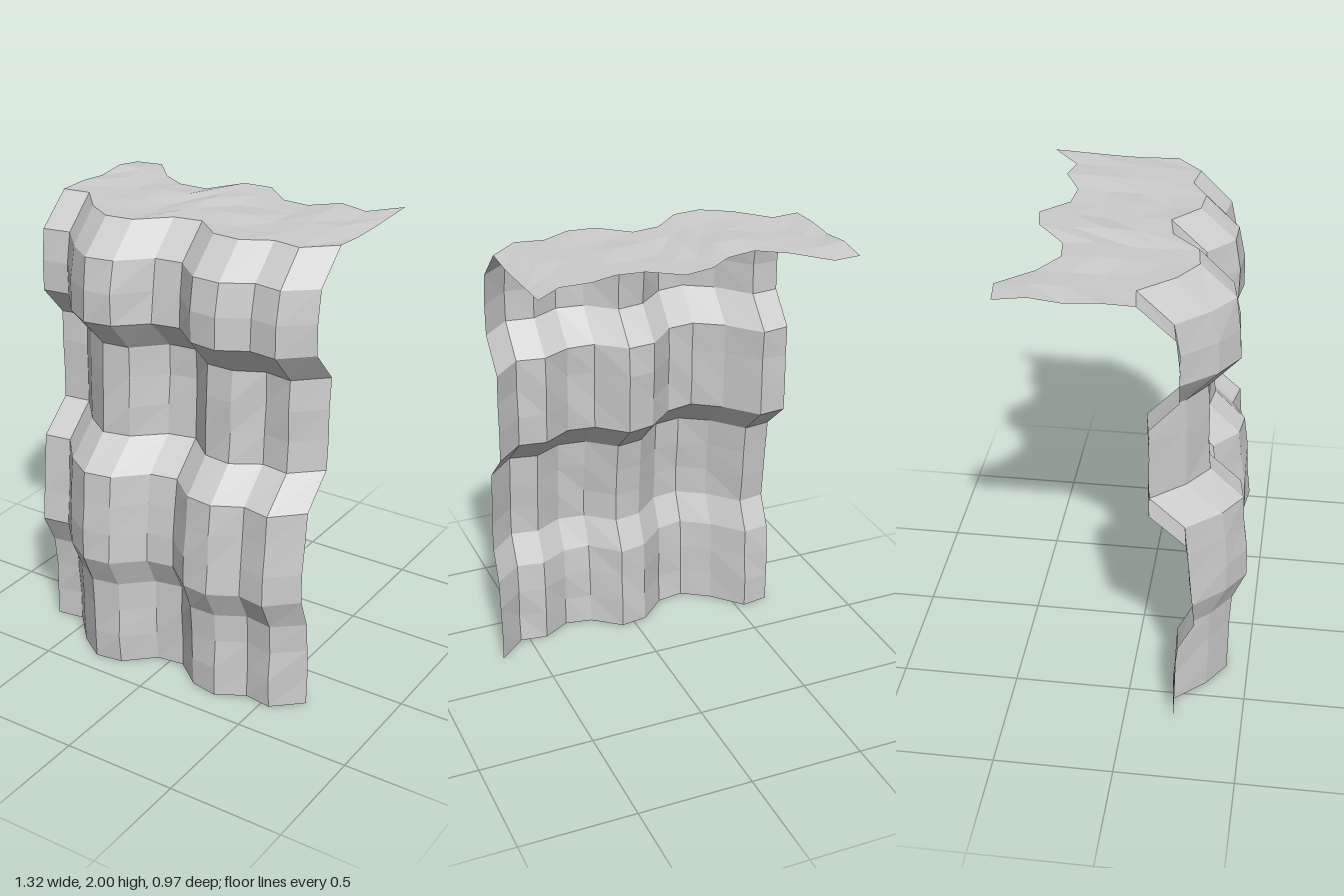
import * as THREE from 'three';

// Depth of the rock face across its width, left to right
const COLUMN_Z = [0.055, 0.04, 0.175, 0.25, 0.235, 0.12, 0.1, 0.205, 0.215, 0.15, 0.17, 0.06];
// Bulge of each wall row, from the ground up to the lip
const ROW_Z = [0.157, 0.158, 0.16, 0.165, 0.23, 0.22, 0.208, 0.195,
  0.055, 0.05, 0.045, 0.04, 0.165, 0.16, 0.14, 0];
const WIDTH = 1.32;
const LIP_Y = 1.99;
const LEDGE_ROWS = 4;
const STEP = LIP_Y / (ROW_Z.length - 1);

function seededNoise(seed) {
  let s = seed;
  return (amount) => {
    s = (s * 16807) % 2147483647;
    return (s / 2147483647 * 2 - 1) * amount;
  };
}

export function createModel() {
  const group = new THREE.Group();
  group.name = 'cliff';

  const stone = new THREE.MeshStandardMaterial({
    color: 0xcccccc, flatShading: true, side: THREE.DoubleSide,
  });
  stone.name = 'grey stone';

  // One folded grid: a stepped wall that turns back into a flat ledge
  const cols = COLUMN_Z.length;
  const wallRows = ROW_Z.length;
  const rows = wallRows + LEDGE_ROWS;
  const geometry = new THREE.PlaneGeometry(WIDTH, 1, cols - 1, rows - 1);
  const pos = geometry.attributes.position;
  const noise = seededNoise(77);

  for (let i = 0; i < pos.count; i++) {
    const col = i % cols;
    const row = rows - 1 - Math.floor(i / cols);
    const past = Math.max(0, row - wallRows + 1); // rows behind the lip
    if (past > 0) {
      pos.setY(i, LIP_Y + noise(0.009));
      pos.setZ(i, COLUMN_Z[col] - past * STEP);
    } else {
      pos.setY(i, row * STEP);
      const rough = row === wallRows - 1 ? 0 : noise(0.007);
      pos.setZ(i, COLUMN_Z[col] + ROW_Z[row] + rough);
    }
  }
  geometry.computeVertexNormals();

  const face = new THREE.Mesh(geometry, stone);
  face.name = 'rockFaceAndLedge';
  group.add(face);
  return group;
}
